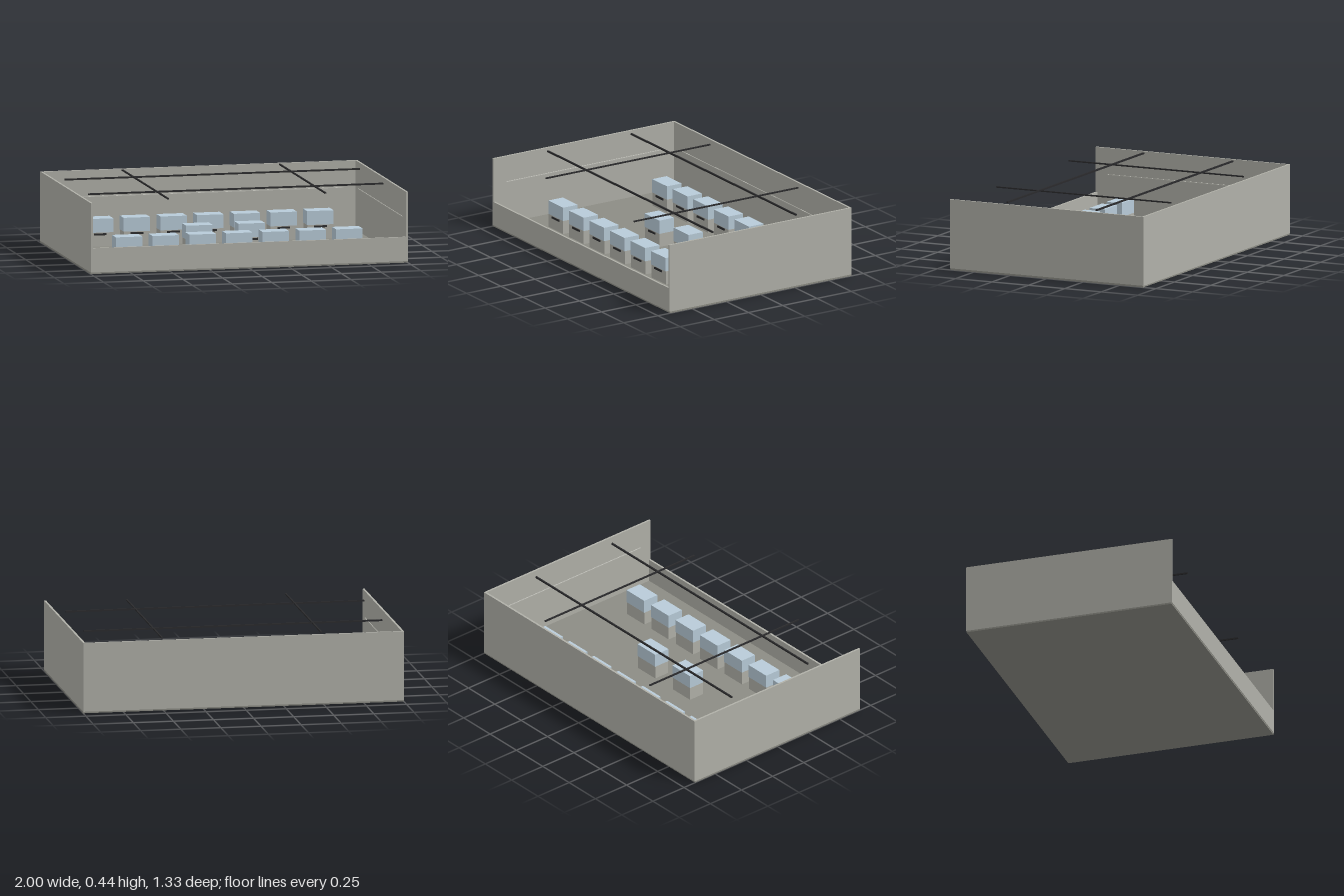
import * as THREE from 'three';

const paint = (color) => new THREE.MeshStandardMaterial({ color });
const wallMat = paint(0xb0b0a8);
const floorMat = paint(0x8c8c84);
const glassMat = paint(0xb8cbd8);
const darkMat = paint(0x2a2a2c);
const stripMat = paint(0xc8c8c0);

// Box standing on height y, centred on x and z
function block(parent, name, mat, w, h, d, x, y, z) {
  const mesh = new THREE.Mesh(new THREE.BoxGeometry(w, h, d), mat);
  mesh.position.set(x, y + h / 2, z);
  mesh.name = name;
  parent.add(mesh);
  return mesh;
}

// Plinth with a glass cover and a small name plate on its front
function displayCase(x, z) {
  const g = new THREE.Group();
  g.name = 'displayCase';
  block(g, 'plinth', wallMat, 0.164, 0.085, 0.102, 0, 0.01, 0);
  block(g, 'glassCover', glassMat, 0.167, 0.086, 0.106, 0, 0.095, 0);
  block(g, 'namePlate', darkMat, 0.08, 0.012, 0.006, 0, 0.078, 0.054);
  g.position.set(x, 0, z);
  return g;
}

export function createModel() {
  const room = new THREE.Group();
  room.name = 'showroom';

  const halfZ = 0.665, t = 0.013, floorY = 0.01, wallH = 0.43;

  // Floor slab and walls, with a low wall at the front
  block(room, 'floor', floorMat, 2, floorY, 2 * halfZ - 0.006, 0, 0, 0);
  block(room, 'backWall', wallMat, 2, wallH, t, 0, floorY, -halfZ + t / 2);
  block(room, 'frontLowWall', wallMat, 2, 0.15, t, 0, floorY, halfZ - t / 2);
  for (const s of [-1, 1]) {
    block(room, 'sideWall', wallMat, t, wallH, 2 * (halfZ - t), s * (1 - t / 2), floorY, 0);
    // The front end of each side wall reaches the outer face above the low wall
    block(room, 'sideWallEnd', wallMat, t, wallH - 0.15, t, s * (1 - t / 2), floorY + 0.15, halfZ - t / 2);
    block(room, 'sideStrip', stripMat, 0.003, 0.004, 1.16, s * (1 - t - 0.0015), 0.273, 0);
  }
  block(room, 'backStrip', stripMat, 1.82, 0.004, 0.003, 0, 0.273, -halfZ + t + 0.0015);

  // Two rows of seven cases and a pair in the middle
  for (const z of [-0.412, 0.347]) {
    for (let i = -3; i <= 3; i++) room.add(displayCase(i * 0.2315, z));
  }
  for (const s of [-1, 1]) room.add(displayCase(s * 0.165, -0.013));

  // Overhead lighting rails, crossing
  for (const s of [-1, 1]) {
    block(room, 'longRail', darkMat, 1.86, 0.01, 0.01, 0, 0.435, s * 0.305);
    block(room, 'crossRail', darkMat, 0.01, 0.008, 1.2, s * 0.496, 0.436, 0);
  }
  return room;
}
